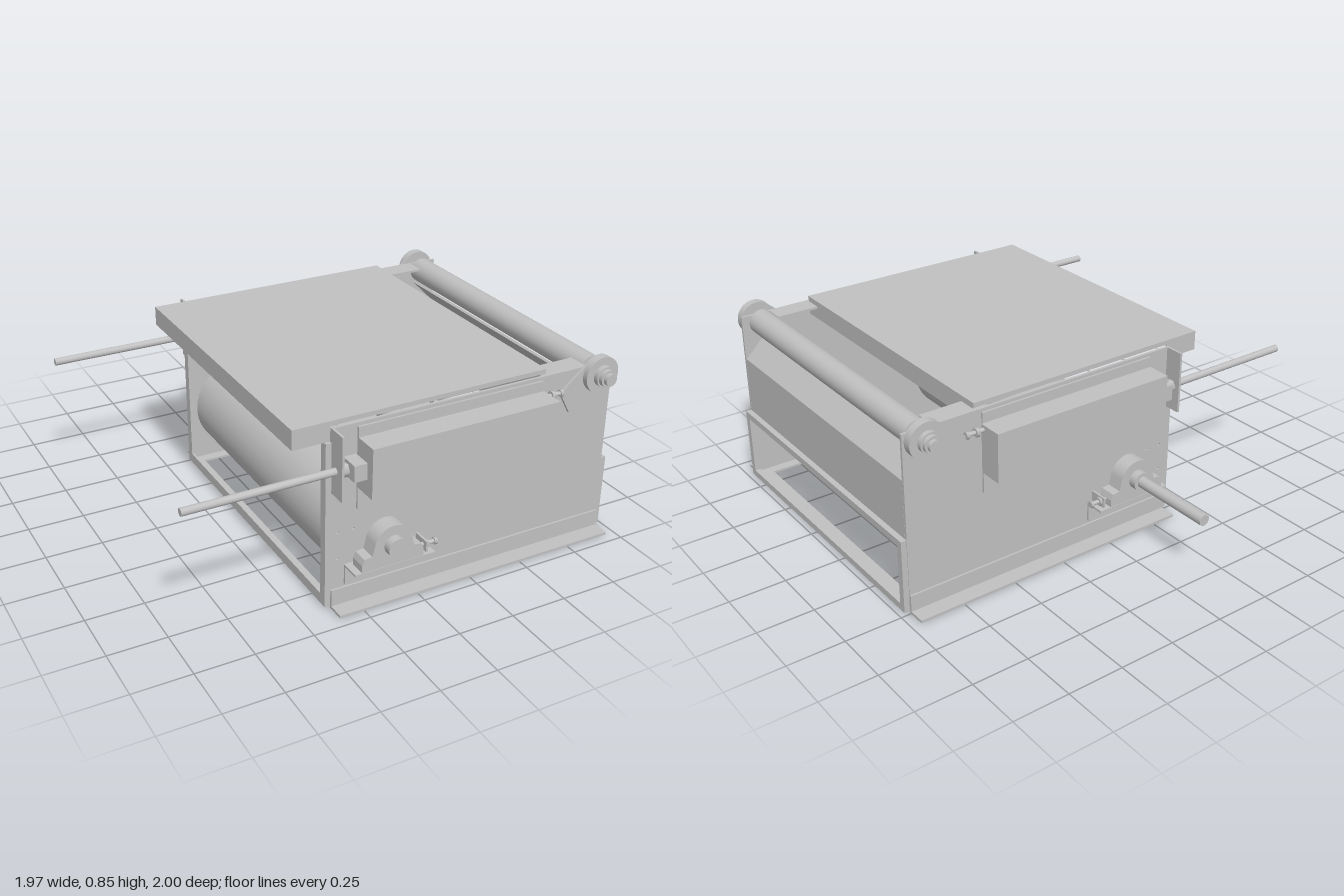
import * as THREE from 'three';

const steel = new THREE.MeshStandardMaterial({ color: 0xc0c0c0 });
steel.name = 'steel grey';

// everything is laid out about the centre plane of the machine, at this z
const MID = 0.187;

export function createModel() {
  const model = new THREE.Group();
  model.name = 'conveyorDriveUnit';
  const body = new THREE.Group();
  body.name = 'body';
  body.position.z = MID;
  model.add(body);

  const add = (name, geo) => {
    const m = new THREE.Mesh(geo, steel);
    m.name = name;
    body.add(m);
    return m;
  };
  // box from its limits
  const box = (name, x0, x1, y0, y1, z0, z1) => {
    const m = add(name, new THREE.BoxGeometry(x1 - x0, y1 - y0, Math.abs(z1 - z0)));
    m.position.set((x0 + x1) / 2, (y0 + y1) / 2, (z0 + z1) / 2);
    return m;
  };
  // cylinder along z
  const cylZ = (name, x, y, z0, z1, r, seg = 40) => {
    const g = new THREE.CylinderGeometry(r, r, Math.abs(z1 - z0), seg).rotateX(Math.PI / 2);
    add(name, g).position.set(x, y, (z0 + z1) / 2);
  };
  // cylinder along x
  const cylX = (name, x0, x1, y, z, r, seg = 24) => {
    const g = new THREE.CylinderGeometry(r, r, x1 - x0, seg).rotateZ(Math.PI / 2);
    add(name, g).position.set((x0 + x1) / 2, y, z);
  };
  // flat shape in x and y, given a thickness and centred on z
  const plate = (name, shape, z, t) => {
    const g = new THREE.ExtrudeGeometry(shape, { depth: t, bevelEnabled: false, curveSegments: 24 });
    add(name, g.translate(0, 0, z - t / 2));
  };
  const poly = (pts) => new THREE.Shape(pts.map((p) => new THREE.Vector2(p[0], p[1])));
  const hole = (shape, x, y, r) => {
    const p = new THREE.Path();
    p.absarc(x, y, r, 0, Math.PI * 2, true);
    shape.holes.push(p);
  };

  // table top with lips at both ends
  box('tableTop', -0.52, 0.625, 0.805, 0.825, -0.67, 0.67);
  box('tableBackLip', -0.52, -0.51, 0.74, 0.805, -0.67, 0.67);
  box('tableFrontLip', 0.613, 0.625, 0.74, 0.805, -0.665, 0.665);

  // drive drum, its shaft and a small inner roller
  cylZ('driveDrum', -0.13, 0.28, -0.655, 0.655, 0.215, 72);
  cylZ('driveShaft', -0.13, 0.28, -1.187, 0.79, 0.025, 32);
  cylZ('innerRoller', 0.25, 0.46, -0.67, 0.67, 0.045, 32);

  // end roller
  cylZ('endRoller', 0.87, 0.767, -0.655, 0.655, 0.057, 48);
  cylZ('endRollerShaft', 0.87, 0.767, -0.785, 0.785, 0.026, 32);

  // end panel with its sloping top
  box('endPanel', 0.945, 0.955, 0.28, 0.6, -0.67, 0.67);
  plate('endPanelSlope', poly([[0.955, 0.6], [0.845, 0.71], [0.837, 0.702], [0.945, 0.594]]), 0, 1.33);

  // open frame at the front end
  const ring = new THREE.Shape();
  ring.moveTo(-0.68, 0.01).lineTo(0.68, 0.01).lineTo(0.68, 0.34).lineTo(-0.68, 0.34);
  const gap = new THREE.Path();
  gap.moveTo(-0.65, 0.04).lineTo(-0.65, 0.31).lineTo(0.65, 0.31).lineTo(0.65, 0.04);
  ring.holes.push(gap);
  const ringGeo = new THREE.ExtrudeGeometry(ring, { depth: 0.025, bevelEnabled: false });
  add('endFrame', ringGeo.rotateY(Math.PI / 2).translate(0.955, 0, 0));

  // cross angles at floor level
  box('frontFloorAngle', 0.90, 0.957, 0.01, 0.018, -0.67, 0.67);
  box('backFloorAngle', -0.385, -0.33, 0.01, 0.018, -0.67, 0.67);
  box('backCrossBar', -0.385, -0.375, 0.01, 0.055, -0.67, 0.67);

  for (const s of [1, -1]) {
    // side wall with flanges
    const wall = poly([[-0.385, 0.01], [0.955, 0.01], [0.955, 0.8], [-0.36, 0.8], [-0.36, 0.74], [-0.385, 0.74]]);
    for (const [x, y] of [[-0.33, 0.34], [-0.26, 0.34], [-0.33, 0.22]]) hole(wall, x, y, 0.006);
    plate('sideWall', wall, s * 0.677, 0.012);
    box('wallTopFlange', 0.6, 0.82, 0.79, 0.8, s * 0.585, s * 0.675);
    box('wallBackFlange', -0.385, -0.375, 0.01, 0.74, s * 0.645, s * 0.675);
    box('tableSideLip', -0.52, -0.36, 0.74, 0.805, s * 0.66, s * 0.67);

    // base angle
    box('baseAngleUpright', -0.36, 0.955, 0, 0.085, s * 0.683, s * 0.692);
    box('baseAngleFoot', -0.36, 0.955, 0, 0.012, s * 0.683, s * 0.765);
    box('baseInnerFoot', -0.36, 0.955, 0.008, 0.018, s * 0.625, s * 0.675);

    // cover box on its backing plate
    box('coverBackPlate', -0.25, 0.6, 0.43, 0.785, s * 0.683, s * 0.692);
    box('coverBox', -0.25, 0.605, 0.525, 0.74, s * 0.692, s * 0.8);

    // take-up rod, bracket and nuts
    cylX('takeUpRod', -0.985, -0.25, 0.635, s * 0.715, 0.016);
    box('rodBracket', -0.36, -0.35, 0.525, 0.8, s * 0.683, s * 0.765);
    cylX('rodNut', -0.35, -0.315, 0.635, s * 0.715, 0.03, 6);
    box('rodBlock', -0.31, -0.255, 0.6, 0.67, s * 0.683, s * 0.77);

    // adjusting bolts
    for (const [x, y] of [[0.605, 0.72], [0.01, 0.212]]) {
      const z = s * (y > 0.5 ? 0.705 : 0.735);
      cylX('boltShank', x, x + 0.075, y, z, 0.009, 16);
      cylX('boltNut', x + 0.025, x + 0.04, y, z, 0.02, 6);
      cylX('boltHead', x + 0.07, x + 0.083, y, z, 0.016, 6);
    }
    box('boltTab', 0.03, 0.04, 0.185, 0.235, s * 0.683, s * 0.76);

    // bearing shelf
    box('shelfUpright', -0.3, 0.065, 0.1, 0.188, s * 0.683, s * 0.692);
    box('shelfLedge', -0.3, 0.065, 0.178, 0.188, s * 0.683, s * 0.775);

    // pillow block with a domed top
    const block = new THREE.Shape();
    block.moveTo(-0.27, 0.188).lineTo(0.01, 0.188).lineTo(0.01, 0.22).lineTo(0, 0.245).lineTo(-0.035, 0.25);
    block.absarc(-0.13, 0.28, 0.085, 0.25, Math.PI - 0.25, false);
    block.lineTo(-0.225, 0.25).lineTo(-0.26, 0.245).lineTo(-0.27, 0.22);
    plate('pillowBlock', block, s * 0.737, 0.072);
    cylZ('pillowCollar', -0.13, 0.28, s * 0.69, s * 0.808, 0.042, 32);

    // end roller bracket: a drilled plate that swings down to the wall
    const arm = poly([[0.925, 0.72], [0.735, 0.618], [0.682, 0.715], [0.83, 0.835]]);
    for (const [x, y] of [[0.72, 0.72], [0.74, 0.655], [0.765, 0.745], [0.8, 0.68]]) hole(arm, x, y, 0.01);
    plate('rollerBracket', arm, s * 0.697, 0.012);
    cylZ('bearingFlange', 0.87, 0.767, s * 0.69, s * 0.728, 0.08);
    cylZ('bearingRing', 0.87, 0.767, s * 0.728, s * 0.75, 0.045);
    cylZ('bearingHub', 0.87, 0.767, s * 0.75, s * 0.768, 0.037);
  }
  return model;
}
